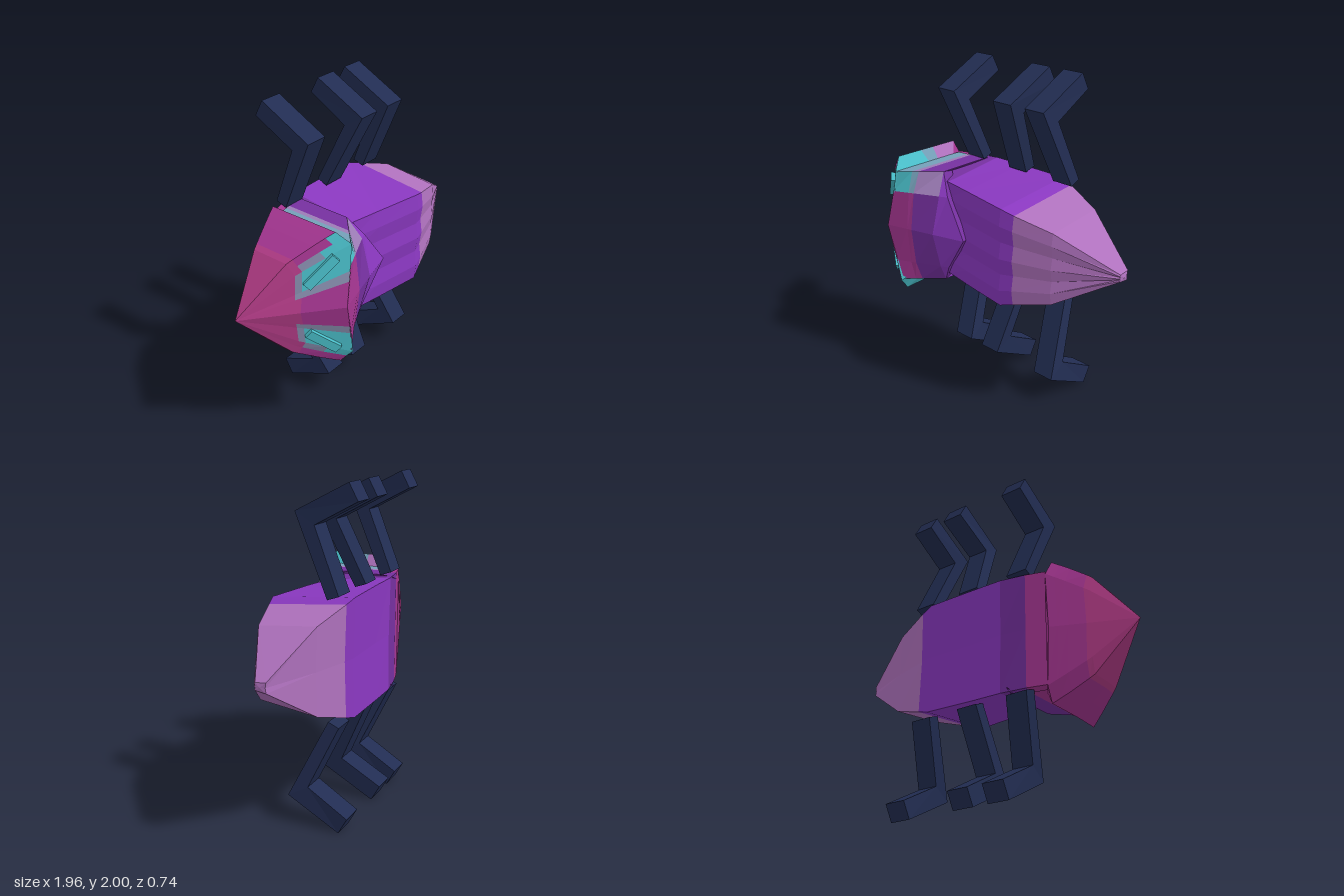
import * as THREE from 'three';

const mat = (name, color) => {
  const m = new THREE.MeshStandardMaterial({ color, flatShading: true, side: THREE.DoubleSide });
  m.name = name;
  return m;
};
const MATS = [
  mat('magenta', 0xb43c88), mat('plum', 0xa63692), mat('deepPurple', 0x7630a0),
  mat('purple', 0x8a38c0), mat('paleViolet', 0xb072be), mat('cyan', 0x4abfca),
  mat('mauve', 0x9c7cb6), mat('steelBlue', 0x74a0b8), mat('slate', 0x868cac), mat('navy', 0x222d52),
];
const [MAGENTA, PLUM, DEEP, PURPLE, PALE, CYAN, MAUVE, STEEL, SLATE, NAVY] = MATS.keys();
const CY = 0.985; // height of the long axis

// Skin rings of [x, y, z] that advance along +x; colour(i, j) picks the material of a cell
function loft(name, rings, closed, colour) {
  const cells = MATS.map(() => []);
  for (let i = 0; i < rings.length - 1; i++) {
    const n = rings[i].length;
    for (let j = 0; j < (closed ? n : n - 1); j++) {
      const k = (j + 1) % n;
      const a = rings[i][j], b = rings[i][k], c = rings[i + 1][k], d = rings[i + 1][j];
      cells[colour(i, j)].push(...a, ...d, ...c, ...a, ...c, ...b);
    }
  }
  const geo = new THREE.BufferGeometry();
  let start = 0;
  cells.forEach((list, m) => {
    if (list.length) geo.addGroup(start, list.length / 3, m);
    start += list.length / 3;
  });
  geo.setAttribute('position', new THREE.Float32BufferAttribute(cells.flat(), 3));
  geo.computeVertexNormals();
  const mesh = new THREE.Mesh(geo, MATS);
  mesh.name = name;
  return mesh;
}

// Abdomen: tapered box section with a gently rippled back
function makeBody() {
  const ripple = [-0.008, 0.005, -0.008, 0.006, -0.008, 0.005, -0.008];
  // x, belly half width, back half width, belly z, back z, ripple strength
  const sections = [
    [-0.48, 0.36, 0.32, -0.22, 0.24, 0], [-0.36, 0.362, 0.32, -0.255, 0.2, 0],
    [-0.2, 0.365, 0.31, -0.285, 0.15, 0.5], [0, 0.365, 0.31, -0.29, 0.19, 1],
    [0.33, 0.36, 0.305, -0.3, 0.245, 1], [0.41, 0.335, 0.28, -0.285, 0.222, 1],
    [0.64, 0.26, 0.22, -0.225, 0.15, 0.8], [0.975, 0.03, 0.022, -0.105, -0.035, 0.5],
    [0.982, 0, 0, -0.07, -0.07, 0],
  ];
  const rings = sections.map(([x, hb, ht, zb, zt, r]) => {
    const cy = CY + 0.01;
    const back = ripple.map((o, k) => [x, cy + ht * (k / 3 - 1), zt + o * r]);
    return [...back, [x, cy + hb, zb], [x, cy, zb + 0.01 * r], [x, cy - hb, zb]];
  });
  const bands = [PLUM, DEEP, PURPLE, PURPLE, PURPLE, PALE, PALE, PALE];
  return loft('abdomen', rings, true, (i) => bands[i]);
}

// Head: faceted cone from the snout to a flared rim
const TIP = [-0.98, 0.97, -0.04];
const RIM = [
  [-0.47, 0.535, 0.28], [-0.455, 0.58, 0.315], [-0.44, 0.62, 0.35], [-0.465, 0.77, 0.357],
  [-0.48, 0.83, 0.363], [-0.52, 0.99, 0.375], [-0.485, 1.14, 0.363], [-0.47, 1.2, 0.357],
  [-0.45, 1.36, 0.35], [-0.475, 1.395, 0.315], [-0.5, 1.43, 0.28], [-0.5, 1.43, 0.1],
  [-0.5, 1.43, 0], [-0.5, 1.43, -0.18], [-0.48, 1.34, -0.22], [-0.5, 0.98, -0.23],
  [-0.48, 0.63, -0.22], [-0.48, 0.535, -0.18], [-0.48, 0.535, 0], [-0.48, 0.535, 0.1],
];

// Point on the head at fraction t from the snout to a rim point; the cheeks bulge outwards
function headPoint(j, t) {
  const [x, y, z] = RIM[j];
  const bulge = 1 - 2.35 * Math.max(0, Math.abs(y - CY) - 0.275);
  return [TIP[0] + (x - TIP[0]) * t, TIP[1] + (y - TIP[1]) * t ** bulge, TIP[2] + (z - TIP[2]) * t];
}

function makeHead() {
  const rings = [0, 0.52, 0.58, 0.78, 0.9, 1].map((t) => RIM.map((_, j) => headPoint(j, t)));
  // the rim turns inwards under the shield
  rings.push(RIM.map(([x, y, z]) => [x + 0.06, CY + (y - CY) * 0.8, z * 0.7]));

  // colours of each sector from snout to rim, then the back of the rim
  const patch = [MAGENTA, SLATE, CYAN, CYAN, CYAN, CYAN];
  const halo = [MAGENTA, SLATE, SLATE, SLATE, SLATE, PLUM];
  const brow = [MAGENTA, MAGENTA, SLATE, CYAN, CYAN, CYAN];
  const plain = (back) => [MAGENTA, MAGENTA, PLUM, PLUM, PLUM, back];
  const sectors = {
    0: plain(CYAN), 1: brow, 2: patch, 3: halo, 6: halo, 7: patch, 8: brow,
    9: [MAGENTA, MAGENTA, PLUM, PLUM, CYAN, CYAN],
    10: plain(CYAN), 11: plain(STEEL), 12: plain(PALE),
    17: plain(PALE), 18: plain(STEEL), 19: plain(CYAN),
  };
  return loft('head', rings, true, (i, j) => (sectors[j] ?? plain(PLUM))[i]);
}

// Raised eye bar lying diagonally across a cheek patch
function makeEye(name, inner, outer) {
  const at = (j, t) => new THREE.Vector3(...headPoint(j, t));
  const from = at(inner, 0.55), to = at(outer, 0.93);
  const u = to.clone().sub(from).normalize();
  const normal = new THREE.Vector3().crossVectors(u, at(outer, 0.75).sub(at(inner, 0.75))).normalize();
  if (normal.z < 0) normal.negate();
  const eye = new THREE.Mesh(new THREE.BoxGeometry(0.23, 0.055, 0.05), MATS[CYAN]);
  eye.quaternion.setFromRotationMatrix(
    new THREE.Matrix4().makeBasis(u, new THREE.Vector3().crossVectors(normal, u), normal));
  eye.position.copy(from).lerp(to, 0.5);
  eye.name = name;
  return eye;
}

// Thorax shield: slopes back from the head rim to a point over the abdomen
function makeShield() {
  // height offset, front x, front z, rear x, rear z
  const half = [
    [0, -0.52, 0.375, 0.01, 0.225], [0.235, -0.47, 0.357, -0.15, 0.2],
    [0.365, -0.45, 0.345, -0.24, 0.145], [0.368, -0.45, -0.18, -0.24, -0.22],
  ];
  const mirrored = half.slice(1).reverse().map(([y, ...rest]) => [-y, ...rest]);
  const columns = [...mirrored, ...half];
  const row = (x) => columns.map(([y, fx, fz, rx, rz]) => {
    const t = THREE.MathUtils.clamp((x - fx) / (rx - fx), 0, 1);
    return [fx + (rx - fx) * t, CY + 0.01 + y, fz + (rz - fz) * t];
  });
  const rear = row(1);
  const hem = rear.map(([x, y, z]) => [x - 0.02, CY + (y - CY) * 0.95, z - 0.09]);
  const rings = [row(-1), row(-0.38), row(-0.35), row(-0.2), rear, hem];
  const bands = [PLUM, PLUM, DEEP, PURPLE, DEEP];
  const shoulder = [CYAN, STEEL, MAUVE];
  const flank = [STEEL, MAUVE];
  return loft('thoraxShield', rings, false, (i, j) =>
    (j === 4 ? shoulder[i] : j === 5 ? flank[i] : undefined) ?? bands[i]);
}

// Bent leg: an angled outline extruded along x, leaning sideways from hip to knee
function makeLeg(name, hipX, kneeX, up) {
  const outline = [[-0.2, 1.36], [0.02, 1.83], [-0.31, 2], [-0.365, 1.9], [-0.105, 1.76], [-0.27, 1.385]];
  const shape = new THREE.Shape(outline.map(([z, y]) => new THREE.Vector2(z, up ? y : 2 - y)));
  const geo = new THREE.ExtrudeGeometry(shape, { depth: 0.14, bevelEnabled: false });
  geo.translate(0, 0, -0.07).rotateY(-Math.PI / 2);
  const p = geo.attributes.position;
  for (let i = 0; i < p.count; i++) {
    const y = up ? p.getY(i) : 2 - p.getY(i);
    const t = Math.min(1, (y - 1.36) / 0.47);
    p.setX(i, p.getX(i) + hipX + (kneeX - hipX) * t);
  }
  geo.computeVertexNormals();
  const leg = new THREE.Mesh(geo, MATS[NAVY]);
  leg.name = name;
  return leg;
}

export function createModel() {
  const model = new THREE.Group();
  model.name = 'beetle';
  model.add(makeBody(), makeHead(), makeShield());
  model.add(makeEye('upperEye', 7, 8), makeEye('lowerEye', 3, 2));
  const upper = [[-0.305, -0.34], [0.055, 0.125], [0.41, 0.37]];
  const lower = [[-0.305, -0.21], [0.055, 0.03], [0.4, 0.49]];
  upper.forEach(([h, k], i) => model.add(makeLeg(`upperLeg${i + 1}`, h, k, true)));
  lower.forEach(([h, k], i) => model.add(makeLeg(`lowerLeg${i + 1}`, h, k, false)));
  return model;
}
